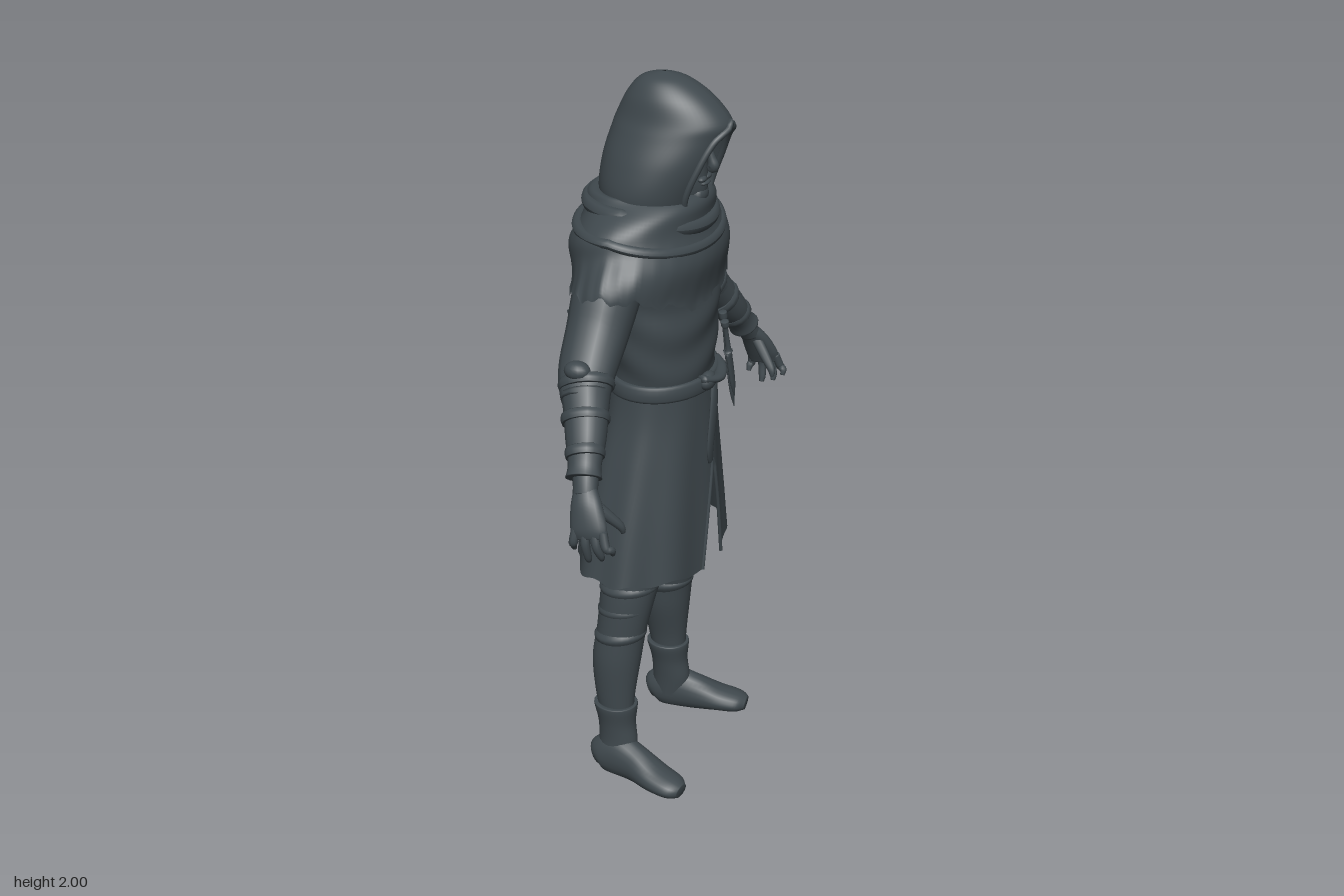
import * as THREE from 'three';

const cloth = new THREE.MeshStandardMaterial({ color: 0x3f484d, side: THREE.DoubleSide });
cloth.name = 'slate';

// Smooth interpolation through rows of numbers, t in 0..1
function sample(rows, t) {
  const s = t * (rows.length - 1), i = Math.min(Math.floor(s), rows.length - 2), f = s - i;
  const at = k => rows[Math.max(0, Math.min(rows.length - 1, k))];
  const [a, b, c, d] = [at(i - 1), at(i), at(i + 1), at(i + 2)];
  return b.map((q, k) => q + 0.5 * f * (c[k] - a[k]
    + f * (2 * a[k] - 5 * q + 4 * c[k] - d[k] + f * (3 * (q - c[k]) + d[k] - a[k]))));
}

// Surface from a rule point(u, v), optionally closed round u
function grid(nu, nv, point, closed) {
  const w = closed ? nu : nu + 1, pos = [], idx = [];
  for (let j = 0; j <= nv; j++) for (let i = 0; i < w; i++) pos.push(...point(i / nu, j / nv));
  for (let j = 0; j < nv; j++) for (let i = 0; i < nu; i++) {
    const a = j * w + i, b = j * w + (i + 1) % w, c = a + w, d = b + w;
    idx.push(a, c, b, b, c, d);
  }
  const g = new THREE.BufferGeometry();
  g.setAttribute('position', new THREE.Float32BufferAttribute(pos, 3));
  g.setIndex(idx);
  g.computeVertexNormals();
  return g;
}

// Horizontal ovals: rows of [y, xBack, xFront, zMin, zMax, front opening half width]
function ovals(rows, bump = () => [0, 0]) {
  return (u, v) => {
    const [y, x0, x1, z0, z1, open = 0] = sample(rows, v);
    const rx = (x1 - x0) / 2, rz = (z1 - z0) / 2;
    const a0 = rz > 0.001 ? Math.asin(Math.min(1, Math.max(0, open) / rz)) : 0;
    const a = a0 + u * (2 * Math.PI - 2 * a0), [dr, dy] = bump(a, v);
    return [(x0 + x1) / 2 + (rx + dr) * Math.cos(a), y + dy, (z0 + z1) / 2 + (rz + dr) * Math.sin(a)];
  };
}

// Rounded limb along a path: rows of [x, y, z, half width, half depth]
function limb(rows, ref = [1, 0, 0], n = 16, steps = 6) {
  const m = (rows.length - 1) * steps, R = new THREE.Vector3(...ref);
  return grid(n, m + 2, (u, q) => {
    const k = Math.round(q * (m + 2)), t = Math.max(0, Math.min(1, (k - 1) / m));
    const r = sample(rows, t), end = k === 0 || k === m + 2 ? 0 : 1;
    const p0 = sample(rows, Math.max(0, t - 0.01)), p1 = sample(rows, Math.min(1, t + 0.01));
    const T = new THREE.Vector3(p1[0] - p0[0], p1[1] - p0[1], p1[2] - p0[2]).normalize();
    const S = R.clone().cross(T).normalize(), N = T.clone().cross(S);
    const P = new THREE.Vector3(...r.slice(0, 3))
      .addScaledVector(S, r[3] * end * Math.cos(u * 2 * Math.PI))
      .addScaledVector(N, r[4] * end * Math.sin(u * 2 * Math.PI));
    return [P.x, Math.max(0, P.y), P.z];
  }, true);
}

export function createModel() {
  const model = new THREE.Group();
  const add = (name, geometry, parent = model) => {
    const mesh = new THREE.Mesh(geometry, cloth);
    mesh.name = name;
    parent.add(mesh);
    return mesh;
  };
  const ball = (name, x, y, z, rx, ry, rz) => {
    const m = add(name, new THREE.SphereGeometry(1, 16, 12));
    m.position.set(x, y, z);
    m.scale.set(rx, ry, rz);
  };
  const sym = rows => rows.map(([y, b, f, z, o = 0]) => [y, b, f, -z, z, o]);
  const edge = (name, at, v0, v1, r) => {
    const pts = [];
    for (let i = 0; i <= 12; i++) pts.push(new THREE.Vector3(...at(0, v0 + (v1 - v0) * i / 12)));
    for (let i = 11; i >= 0; i--) pts.push(new THREE.Vector3(...at(1, v0 + (v1 - v0) * i / 12)));
    add(name, new THREE.TubeGeometry(new THREE.CatmullRomCurve3(pts), 60, r, 8));
  };

  // Hood, open at the face
  const hood = ovals(sym([[1.62, -0.13, 0.12, 0.14, 0.06], [1.70, -0.143, 0.145, 0.157, 0.088],
    [1.78, -0.135, 0.178, 0.143, 0.08], [1.85, -0.115, 0.2, 0.115, 0.05], [1.89, -0.1, 0.205, 0.098, 0],
    [1.945, -0.072, 0.155, 0.08, 0], [1.985, -0.035, 0.09, 0.048, 0], [2, 0.02, 0.03, 0.003, 0]]));
  add('hood', grid(56, 42, hood));
  edge('hoodRim', hood, 0, 4 / 7, 0.009);

  // Head and bearded face
  add('head', grid(28, 28, ovals(sym([[1.6, -0.03, 0.08, 0.06], [1.66, -0.03, 0.1, 0.055], [1.675, -0.04, 0.135, 0.05],
    [1.71, -0.05, 0.143, 0.06], [1.75, -0.06, 0.142, 0.068], [1.8, -0.06, 0.14, 0.075],
    [1.83, -0.06, 0.15, 0.077], [1.87, -0.05, 0.14, 0.07], [1.9, 0, 0.09, 0.03]])), true));
  add('nose', limb([[0.143, 1.825, 0, 0.008, 0.008], [0.155, 1.79, 0, 0.011, 0.01],
    [0.16, 1.768, 0, 0.016, 0.012], [0.15, 1.757, 0, 0.01, 0.008]], [0, 0, 1], 12));
  ball('mouth', 0.137, 1.722, 0, 0.013, 0.006, 0.022);
  ball('beard', 0.123, 1.69, 0, 0.022, 0.026, 0.035);
  for (const s of [1, -1]) {
    ball('brow', 0.136, 1.822, s * 0.03, 0.014, 0.008, 0.026);
    ball('eye', 0.132, 1.802, s * 0.03, 0.01, 0.007, 0.013);
    ball('cheek', 0.115, 1.77, s * 0.042, 0.023, 0.018, 0.022);
    ball('moustache', 0.137, 1.735, s * 0.016, 0.011, 0.008, 0.018);
  }

  // Draped mantle with ragged hem
  const drape = (a, v) => [0.008 * Math.sin(v * 15 + 3 * Math.cos(a)) * Math.min(1, v * 4),
    -v * v * (0.05 * Math.cos(a) ** 2 + 0.03 * Math.max(0, Math.cos(a)) ** 4)
    + v ** 6 * (0.008 * Math.sin(13 * a) + 0.006 * Math.sin(29 * a + 1))];
  add('mantle', grid(120, 36, ovals(sym([[1.66, -0.1, 0.09, 0.1], [1.70, -0.145, 0.12, 0.145], [1.675, -0.175, 0.145, 0.19],
    [1.62, -0.19, 0.16, 0.25], [1.56, -0.203, 0.168, 0.285], [1.49, -0.19, 0.17, 0.32]]), drape), true));
  for (const [y, f, b, r] of [[1.635, 0.145, -0.17, 0.02], [1.585, 0.155, -0.185, 0.016]])
    add('mantleFold', grid(64, 12, (u, v) => {
      const a = u * 2 * Math.PI, c = v * 2 * Math.PI, k = 1 + r * Math.cos(c) / 0.17;
      return [(f + b) / 2 + (f - b) / 2 * k * Math.cos(a),
        y + 0.03 - 0.045 * Math.max(0, Math.cos(a)) + r * Math.sin(c), (y > 1.6 ? 0.175 : 0.24) * k * Math.sin(a)];
    }, true));

  // Tunic body with soft wrinkles
  const wrinkle = (a, v) => [0.003 * Math.sin(v * 30 + 2 * Math.sin(2 * a)), 0];
  add('tunic', grid(48, 40, ovals(sym([[1.1, -0.1, 0.14, 0.16], [1.2, -0.105, 0.155, 0.165], [1.3, -0.115, 0.16, 0.178],
    [1.4, -0.135, 0.165, 0.186], [1.5, -0.15, 0.155, 0.2], [1.6, -0.13, 0.12, 0.17], [1.66, -0.06, 0.07, 0.07]]), wrinkle), true));

  // Skirt, slit at the front
  const skirt = ovals(sym([[0.65, -0.195, 0.178, 0.283, 0.065], [0.8, -0.178, 0.172, 0.25, 0.035], [0.95, -0.155, 0.166, 0.213, 0.005],
    [1.08, -0.128, 0.161, 0.182, 0.0], [1.18, -0.108, 0.157, 0.169, 0.0]]),
  (a, v) => [0.006 * Math.cos(9 * a) * (1 - v), (1 - v) ** 4 * (0.006 * Math.sin(11 * a) - 0.025 * Math.max(0, Math.cos(a)) ** 8)]);
  add('skirt', grid(96, 24, skirt));
  edge('skirtHemEdge', skirt, 0, 0.5, 0.005);

  // Belt, knot and hanging end
  add('belt', grid(48, 8, ovals(sym([[1.155, -0.11, 0.155, 0.168], [1.16, -0.122, 0.168, 0.18], [1.195, -0.12, 0.168, 0.178],
    [1.2, -0.105, 0.155, 0.165]])), true));
  ball('beltKnot', 0.165, 1.185, 0.03, 0.02, 0.025, 0.035);
  add('beltLoop', limb([[0.16, 1.2, 0.06, 0.015, 0.01], [0.18, 1.185, 0, 0.018, 0.012],
    [0.165, 1.19, -0.06, 0.015, 0.01], [0.13, 1.19, -0.11, 0.012, 0.01]], [0, 1, 0]));
  add('beltEnd', limb([[0.172, 1.18, 0.005, 0.014, 0.008], [0.178, 1.1, 0.02, 0.022, 0.007],
    [0.178, 1.0, 0.04, 0.02, 0.006], [0.175, 0.95, 0.03, 0.012, 0.005]]));

  // Two throwing knives at the belt and one dagger behind
  const knife = (name, [x, y, z], [X, Y, Z], w) => {
    const p = t => [x + (X - x) * t, y + (Y - y) * t, z + (Z - z) * t];
    const g = new THREE.Group();
    g.name = name;
    model.add(g);
    add('handle', limb([[...p(0), w, w], [...p(0.06), w, w], [...p(0.1), w * 0.6, w * 0.6],
      [...p(0.35), w * 0.7, w * 0.7], [...p(0.4), w * 1.4, w]], [1, 0, 0], 10), g);
    add('blade', limb([[...p(0.4), w * 1.3, w * 0.6], [...p(0.8), w * 1.2, w * 0.5], [...p(1), w * 0.1, w * 0.1]], [1, 0, 0], 10), g);
  };
  knife('beltKnife', [0.155, 1.3, -0.105], [0.165, 1.06, -0.16], 0.011);
  knife('beltKnife', [0.135, 1.31, -0.14], [0.15, 1.01, -0.195], 0.011);
  knife('backDagger', [-0.175, 1.375, 0.14], [-0.09, 1.2, 0.15], 0.016);

  for (const s of [1, -1]) {
    const side = s > 0 ? 'left' : 'right';
    const m = rows => rows.map(([x, y, z, w, h]) => [x, y, z * s, w, h]);
    const part = (name, rows, ref, n) => add(side + name, limb(m(rows), ref, n));

    // Arm with sleeve and bracer
    part('Sleeve', [[-0.03, 1.56, 0.14, 0.07, 0.08], [-0.035, 1.48, 0.215, 0.085, 0.088], [-0.035, 1.39, 0.28, 0.076, 0.082],
      [-0.03, 1.31, 0.355, 0.062, 0.075], [-0.01, 1.255, 0.41, 0.056, 0.062]]);
    part('Forearm', [[-0.02, 1.27, 0.39, 0.052, 0.055], [0.015, 1.19, 0.46, 0.044, 0.048], [0.045, 1.11, 0.525, 0.03, 0.034],
      [0.055, 1.07, 0.55, 0.025, 0.032]]);
    part('Bracer', [[-0.015, 1.27, 0.395, 0.06, 0.064], [0, 1.235, 0.425, 0.053, 0.058], [0.02, 1.18, 0.47, 0.047, 0.052],
      [0.035, 1.13, 0.51, 0.037, 0.043], [0.042, 1.105, 0.53, 0.042, 0.047]]);
    for (const [x, y, z, r] of [[-0.02, 1.285, 0.38, 0.068], [0.003, 1.22, 0.435, 0.059], [0.028, 1.155, 0.492, 0.048]])
      part('BracerStrap', [[x - 0.004, y + 0.009, z - 0.008, r * 0.95, r * 1.03], [x, y, z, r, r * 1.08],
        [x + 0.004, y - 0.009, z + 0.008, r * 0.95, r * 1.03]]);
    ball('elbowPad', -0.03, 1.335, s * 0.41, 0.035, 0.025, 0.028);

    // Hand
    part('Palm', [[0.052, 1.085, 0.542, 0.022, 0.03], [0.065, 1.05, 0.565, 0.024, 0.042], [0.08, 1.0, 0.585, 0.02, 0.05],
      [0.085, 0.975, 0.59, 0.014, 0.045]]);
    for (const [x, X, Y] of [[0.048, 0.04, 0.935], [0.072, 0.08, 0.907], [0.097, 0.115, 0.918], [0.12, 0.145, 0.94]])
      part('Finger', [[x, 1.0, 0.588, 0.012, 0.012], [(x + X) / 2, 0.962, 0.597, 0.012, 0.012],
        [X, Y + 0.015, 0.59, 0.01, 0.01], [X, Y, 0.583, 0.006, 0.006]], undefined, 10);
    part('Thumb', [[0.07, 1.06, 0.555, 0.016, 0.016], [0.105, 1.02, 0.535, 0.015, 0.015], [0.135, 0.985, 0.517, 0.011, 0.011],
      [0.14, 0.965, 0.512, 0.006, 0.006]], undefined, 10);

    // Leg with wrapped knee, boot shaft and foot
    const leg = (name, rows, bump) => add(side + name, grid(28, rows.length * 5,
      ovals(rows.map(([y, b, f, z0, z1]) => [y, b, f, z0 * s, z1 * s]), bump), true));
    leg('Leg', [[0.16, -0.08, 0.01, 0.145, 0.22], [0.25, -0.098, 0.015, 0.135, 0.227], [0.36, -0.11, 0.028, 0.11, 0.232],
      [0.45, -0.1, 0.04, 0.1, 0.225], [0.55, -0.095, 0.06, 0.08, 0.218], [0.65, -0.095, 0.08, 0.05, 0.205],
      [0.8, -0.1, 0.09, 0.01, 0.195], [0.95, -0.1, 0.09, 0, 0.17]]);
    for (const [y, b, f, z0, z1] of [[0.44, -0.107, 0.042, 0.095, 0.232], [0.52, -0.1, 0.054, 0.083, 0.223], [0.585, -0.099, 0.07, 0.065, 0.218]])
      leg('LegWrap', [[y - 0.025, b + 0.012, f - 0.012, z0 + 0.012, z1 - 0.012], [y, b, f, z0, z1],
        [y + 0.022, b + 0.012, f - 0.012, z0 + 0.012, z1 - 0.012]], a => [0, 0.01 * Math.cos(a)]);
    leg('BootShaft', [[0.04, -0.09, 0.02, 0.15, 0.235], [0.1, -0.088, 0.025, 0.145, 0.228], [0.16, -0.09, 0.018, 0.137, 0.23],
      [0.212, -0.102, 0.022, 0.125, 0.238], [0.222, -0.098, 0.018, 0.13, 0.234], [0.218, -0.07, 0, 0.15, 0.21]]);
    part('Foot', [[-0.097, 0.035, 0.19, 0.025, 0.035], [-0.075, 0.045, 0.191, 0.04, 0.055], [-0.03, 0.052, 0.195, 0.044, 0.07],
      [0.03, 0.045, 0.205, 0.045, 0.057], [0.1, 0.03, 0.225, 0.051, 0.038], [0.16, 0.022, 0.239, 0.046, 0.028],
      [0.187, 0.018, 0.243, 0.025, 0.018]], [0, 1, 0], 20);
  }
  return model;
}
